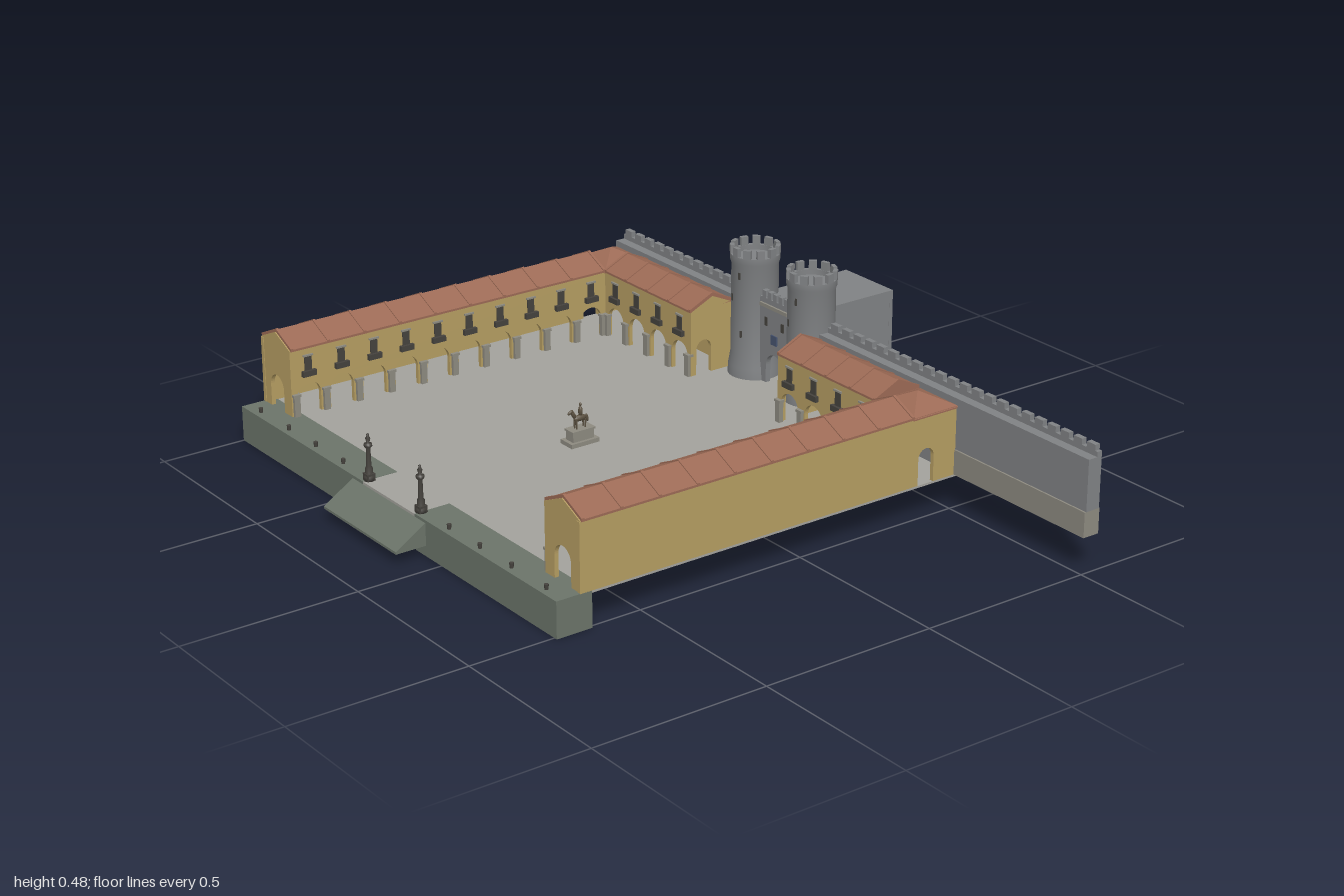
import * as THREE from 'three';
import { toCreasedNormals } from 'three/addons/utils/BufferGeometryUtils.js';

const mat = (color) => new THREE.MeshStandardMaterial({ color, side: THREE.DoubleSide });
const M = {
  stone: mat(0x808284), paving: mat(0xa3a29c), quay: mat(0x6b7469), ochre: mat(0xb59d62),
  roof: mat(0x9c6a55), dark: mat(0x45423d), pale: mat(0x8d8a80), bronze: mat(0x5a5040), blue: mat(0x46536f),
};
const CX = -0.245; // symmetry axis of the courtyard
const G = 0.1;     // courtyard level

export function createModel() {
  const root = new THREE.Group();

  const add = (name, geo, m, x = 0, y = 0, z = 0, ry = 0) => {
    const mesh = new THREE.Mesh(geo, m);
    mesh.name = name;
    mesh.position.set(x, y, z);
    mesh.rotation.y = ry;
    root.add(mesh);
    return mesh;
  };
  // box given by its limits
  const box = (name, m, x0, x1, y0, y1, z0, z1) => add(name,
    new THREE.BoxGeometry(Math.abs(x1 - x0), y1 - y0, z1 - z0), m, (x0 + x1) / 2, (y0 + y1) / 2, (z0 + z1) / 2);

  // upright wall with arched doorways [centre, width, height]; an optional gable rises in the middle
  const wall = (name, m, w, h, t, doors, x, z, ry = 0, gable = 0) => {
    const s = new THREE.Shape();
    s.moveTo(-w / 2, 0);
    for (const [c, dw, dh] of [...doors].sort((a, b) => a[0] - b[0])) {
      const r = dw / 2;
      s.lineTo(c - r, 0);
      s.lineTo(c - r, dh - r);
      s.absarc(c, dh - r, r, Math.PI, 0, true);
      s.lineTo(c + r, 0);
    }
    s.lineTo(w / 2, 0);
    s.lineTo(w / 2, h);
    if (gable) s.lineTo(0, h + gable);
    s.lineTo(-w / 2, h);
    const geo = new THREE.ExtrudeGeometry(s, { depth: t, bevelEnabled: false, curveSegments: 10 });
    geo.translate(0, 0, -t / 2);
    return add(name, geo, m, x, G, z, ry);
  };

  // pitched roof of length len along local z, with tile ribs
  const roof = (len, x, z, ry) => {
    const s = new THREE.Shape([[-0.078, 0], [0.078, 0], [0.078, 0.006], [0, 0.042], [-0.078, 0.006]]
      .map(([a, b]) => new THREE.Vector2(a, b)));
    const part = (name, l, off, lift) => {
      const geo = new THREE.ExtrudeGeometry(s, { depth: l, bevelEnabled: false });
      geo.translate(0, 0, off - l / 2);
      add(name, geo, M.roof, x, 0.29 + lift, z, ry);
    };
    part('tiledRoof', len, 0, 0);
    const n = Math.round(len / 0.115);
    for (let i = 0; i <= n; i++) part('roofRib', 0.008, (i / n - 0.5) * (len - 0.008), 0.003);
  };

  // arcade with piers, windows and balconies; faces local +z
  const arcade = (len, n, x, z, ry) => {
    const step = len / n;
    const at = (i) => (i + 0.5) * step - len / 2;
    wall('arcadeWall', M.ochre, len, 0.19, 0.012, Array.from({ length: n }, (_, i) => [at(i), 0.074, 0.092]), x, z, ry);
    const fit = (name, m, w, h, d, lx, y, lz) => add(name, new THREE.BoxGeometry(w, h, d), m,
      x + lx * Math.cos(ry) + lz * Math.sin(ry), y, z - lx * Math.sin(ry) + lz * Math.cos(ry), ry);
    for (let i = 0; i < n; i++) {
      fit('window', M.dark, 0.022, 0.05, 0.004, at(i), 0.243, 0.007);
      fit('balcony', M.dark, 0.042, 0.016, 0.012, at(i), 0.219, 0.011);
      fit('windowHood', M.pale, 0.03, 0.005, 0.007, at(i), 0.27, 0.008);
    }
    for (let i = 0; i <= n; i++) {
      const lx = THREE.MathUtils.clamp(i * step - len / 2, 0.01 - len / 2, len / 2 - 0.01);
      fit('pier', M.pale, 0.018, 0.06, 0.014, lx, G + 0.03, 0.008);
      fit('pierCapital', M.pale, 0.024, 0.007, 0.018, lx, G + 0.062, 0.008);
    }
  };

  // ground, quay and landing ramp
  box('courtyardFloor', M.paving, -1, 0.51, 0.094, G, -0.58, 0.65);
  box('landing', M.paving, -0.37, -0.12, 0.08, G, 0.65, 0.755);
  box('keepFloor', M.paving, -0.345, -0.14, 0.096, G, -0.84, -0.58);
  const ramp = new THREE.Shape([[-0.75, 0.03], [-0.845, 0.03], [-0.845, 0.037], [-0.75, 0.096]]
    .map(([a, b]) => new THREE.Vector2(a, b)));
  add('landingRamp', new THREE.ExtrudeGeometry(ramp, { depth: 0.35, bevelEnabled: false }), M.quay, -0.42, 0, 0, Math.PI / 2);

  // merlons along x
  const merlons = (x0, x1, n, y0, y1, z0, z1) => {
    const step = (x1 - x0) / n;
    for (let i = 0; i < n; i++) box('merlon', M.stone, x0 + (i + 0.18) * step, x0 + (i + 0.82) * step, y0, y1, z0, z1);
  };

  // curtain wall on both sides of the gate
  for (const [x0, x1] of [[-1, CX - 0.1], [CX + 0.1, 1]]) {
    box('curtainWall', M.stone, x0, x1, G, 0.312, -0.55, -0.507);
    box('parapet', M.stone, x0, x1, 0.312, 0.326, -0.55, -0.535);
    merlons(x0, x1, Math.round((x1 - x0) / 0.047), 0.326, 0.342, -0.55, -0.535);
  }
  box('wallPlinth', M.pale, 0.51, 1, G, 0.17, -0.552, -0.502);

  // tower outline: flared foot, corbelled crown, sunken roof
  const towerProfile = [[0.075, 0.1], [0.073, 0.13], [0.067, 0.165], [0.066, 0.425], [0.07, 0.437],
    [0.07, 0.455], [0.058, 0.455], [0.058, 0.44], [0, 0.44]].map(([r, y]) => new THREE.Vector2(r, y));
  const towerGeo = toCreasedNormals(new THREE.LatheGeometry(towerProfile, 28), 0.5);

  for (const s of [-1, 1]) {
    const X = (u) => CX + s * u;
    const inward = -s * Math.PI / 2;

    box('quay', M.quay, X(0.125), X(0.755), 0, 0.101, 0.65, 0.755);

    // side wing
    wall('wingOuterWall', M.ochre, 1.19, 0.19, 0.012, [[0.405 + 0.09, 0.052, 0.1]], X(0.749), 0.09, Math.PI / 2);
    arcade(1.04, 10, X(0.611), 0.16, inward);
    wall('wingEndWall', M.ochre, 0.15, 0.192, 0.012, [[0, 0.07, 0.1]], X(0.68), 0.677, 0, 0.034);
    box('wingUpperFloor', M.ochre, X(0.617), X(0.743), 0.2, 0.206, -0.5, 0.67);
    roof(1.04, X(0.68), 0.16, 0);

    // corner pavilion roof
    const pyramid = new THREE.ConeGeometry(0.156 / Math.SQRT2, 0.038, 4, 1).toNonIndexed();
    pyramid.rotateY(Math.PI / 4);
    pyramid.computeVertexNormals();
    add('cornerRoof', pyramid, M.roof, X(0.68), 0.31, -0.435);
    box('cornerEaves', M.roof, X(0.602), X(0.756), 0.286, 0.293, -0.512, -0.358);

    // gallery beside the gate
    arcade(0.41, 4, X(0.4), -0.366, 0);
    box('galleryBackWall', M.ochre, X(0.195), X(0.605), G, 0.29, -0.508, -0.498);
    wall('galleryEndWall', M.ochre, 0.15, 0.19, 0.012, [[-0.03, 0.052, 0.1]], X(0.201), -0.435, Math.PI / 2, 0.034);
    box('galleryUpperFloor', M.ochre, X(0.207), X(0.605), 0.2, 0.206, -0.5, -0.372);
    roof(0.41, X(0.4), -0.435, Math.PI / 2);

    // gate tower
    const tx = X(0.125), tz = -0.53;
    add('gateTower', towerGeo, M.stone, tx, 0, tz);
    for (let i = 0; i < 11; i++) {
      const a = (i / 11) * Math.PI * 2;
      add('towerMerlon', new THREE.BoxGeometry(0.022, 0.025, 0.012), M.stone,
        tx + 0.064 * Math.sin(a), 0.467, tz + 0.064 * Math.cos(a), a);
    }
    for (const [a, y] of [[0.3, 0.23], [-0.3, 0.33], [0.2, 0.4], [Math.PI, 0.36]])
      add('arrowSlit', new THREE.BoxGeometry(0.006, 0.02, 0.004), M.dark,
        tx + 0.066 * Math.sin(a), y, tz + 0.066 * Math.cos(a), a);

    // keep side wall
    box('keepSideWall', M.stone, X(0.09), X(0.102), G, 0.335, -0.84, -0.51);

    // harbour column with figure
    const col = [[0, 0.1], [0.015, 0.1], [0.015, 0.112], [0.01, 0.118], [0.01, 0.135], [0.007, 0.14], [0.006, 0.19],
      [0.011, 0.196], [0.011, 0.203], [0.004, 0.206], [0.007, 0.218], [0.003, 0.224], [0.004, 0.229], [0, 0.233]];
    add('harbourColumn', new THREE.LatheGeometry(col.map(([r, y]) => new THREE.Vector2(r, y)), 12), M.dark, X(0.125), 0, 0.735);
    box('columnBase', M.dark, X(0.113), X(0.137), G, 0.12, 0.723, 0.747);

    // mooring posts
    for (const u of [0.255, 0.395, 0.535, 0.685])
      add('mooringPost', new THREE.CylinderGeometry(0.006, 0.005, 0.014, 10), M.dark, X(u), 0.108, 0.735);
  }

  // gatehouse front and keep
  wall('gateFront', M.stone, 0.15, 0.25, 0.016, [[0, 0.074, 0.09]], CX, -0.51);
  merlons(CX - 0.06, CX + 0.06, 5, 0.35, 0.37, -0.518, -0.502);
  box('gateCornice', M.pale, CX - 0.06, CX + 0.06, 0.325, 0.335, -0.506, -0.496);
  box('gatePanel', M.blue, CX - 0.013, CX + 0.013, 0.222, 0.25, -0.503, -0.498);
  for (const s of [-1, 1]) box('gateWindow', M.dark, CX + s * 0.036 - 0.005, CX + s * 0.036 + 0.005, 0.27, 0.295, -0.503, -0.499);
  wall('keepBackWall', M.stone, 0.205, 0.24, 0.012, [[0, 0.064, 0.085]], CX, -0.834);
  box('keepRoof', M.stone, -0.347, -0.143, 0.33, 0.34, -0.84, -0.51);
  for (const s of [-1, 1]) box('keepDoorJamb', M.dark, CX + s * 0.036 - 0.003, CX + s * 0.036 + 0.003, G, 0.185, -0.845, -0.838);
  box('keepDoorLintel', M.dark, CX - 0.039, CX + 0.039, 0.185, 0.191, -0.845, -0.838);

  // equestrian statue on a stepped pedestal
  const sz = 0.155;
  box('pedestalStep', M.pale, CX - 0.026, CX + 0.026, G, 0.112, sz - 0.045, sz + 0.045);
  box('pedestal', M.pale, CX - 0.017, CX + 0.017, 0.112, 0.138, sz - 0.034, sz + 0.034);
  box('pedestalTop', M.pale, CX - 0.02, CX + 0.02, 0.138, 0.143, sz - 0.037, sz + 0.037);
  const blob = (name, rx, ry, rz, y, z, tilt = 0) => {
    const b = add(name, new THREE.SphereGeometry(1, 12, 8), M.bronze, CX, y, sz + z);
    b.scale.set(rx, ry, rz);
    b.rotation.x = tilt;
  };
  blob('horseBody', 0.008, 0.009, 0.021, 0.171, 0);
  blob('horseNeck', 0.005, 0.014, 0.006, 0.184, 0.021, 0.5);
  blob('horseHead', 0.004, 0.005, 0.01, 0.193, 0.03, 0.5);
  blob('horseTail', 0.003, 0.012, 0.004, 0.167, -0.023, 0.2);
  blob('riderBody', 0.007, 0.014, 0.006, 0.19, -0.002);
  blob('riderHead', 0.004, 0.005, 0.004, 0.209, -0.002);
  for (const dx of [-1, 1]) for (const dz of [-1, 1])
    add('horseLeg', new THREE.CylinderGeometry(0.003, 0.002, 0.026, 8), M.bronze, CX + dx * 0.005, 0.155, sz + dz * 0.014);

  return root;
}
